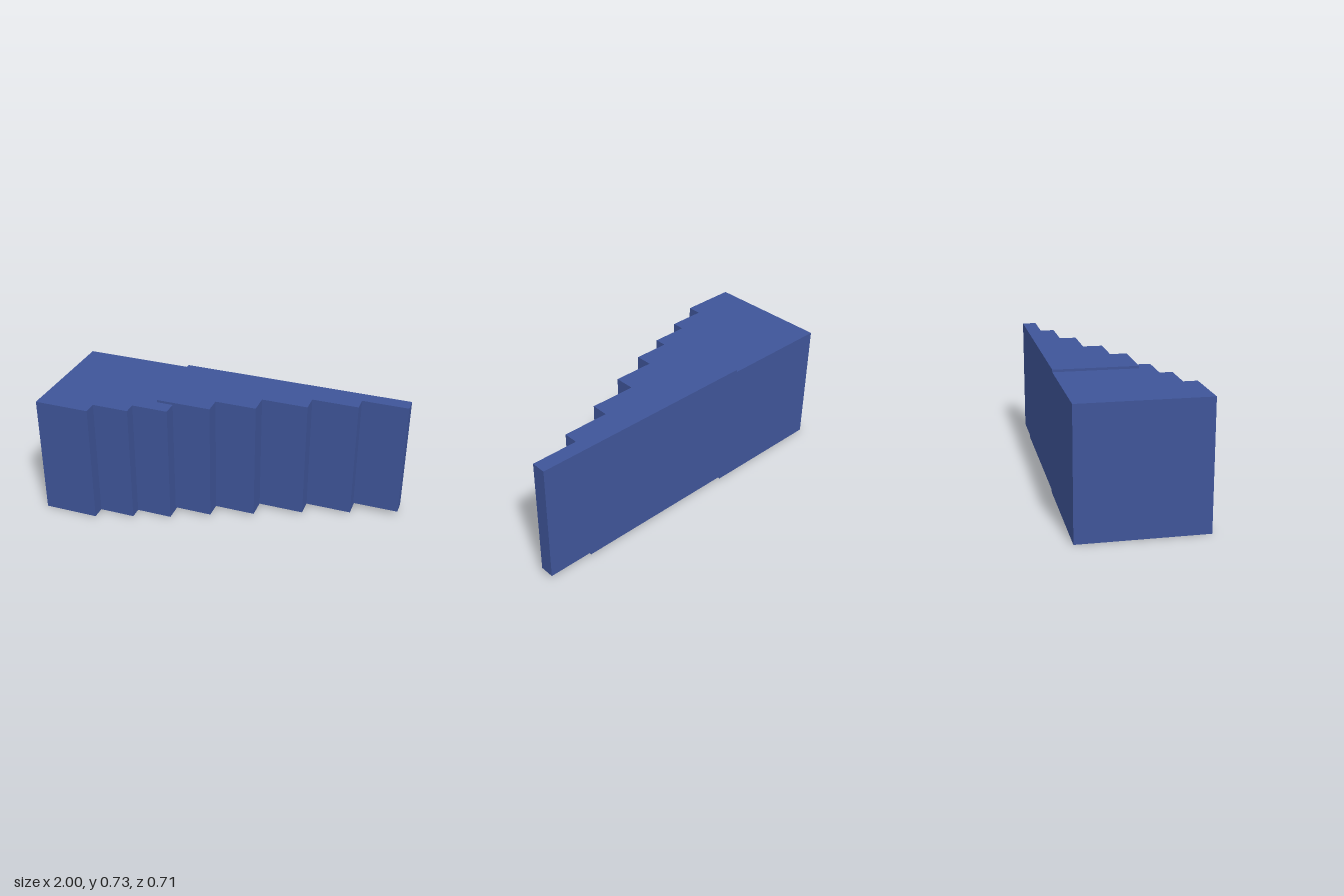
import * as THREE from 'three';

const BACK = -0.353;

// Each step: [right-hand end in x, front face in z]
const lowerSteps = [[-0.68, 0.353], [-0.47, 0.275], [-0.26, 0.205]];
const upperSteps = [[-0.038, 0.121], [0.2, 0.025], [0.466, -0.089], [0.733, -0.187]];
const endStep = [[1, -0.27]];
const capStep = [[-0.26, 0.121]];

export function createModel() {
  const group = new THREE.Group();
  group.name = 'steppedBlock';
  const material = new THREE.MeshStandardMaterial({ color: 0x3f5599 });

  // Extrudes a staircase plan upwards from y0 to y1
  function addSection(name, startX, steps, y0, y1) {
    const shape = new THREE.Shape();
    shape.moveTo(startX, -BACK);
    let x = startX;
    for (const [endX, front] of steps) {
      shape.lineTo(x, -front);
      shape.lineTo(endX, -front);
      x = endX;
    }
    shape.lineTo(x, -BACK);
    shape.closePath();
    const geometry = new THREE.ExtrudeGeometry(shape, { depth: y1 - y0, bevelEnabled: false });
    geometry.rotateX(-Math.PI / 2).translate(0, y0, 0);
    const mesh = new THREE.Mesh(geometry, material);
    mesh.name = name;
    group.add(mesh);
  }

  // Deep sections, middle sections, shallow end, and the lip overlapping the deep sections
  addSection('deepSections', -1, lowerSteps, 0, 0.713);
  addSection('middleSections', -0.26, upperSteps, 0.015, 0.727);
  addSection('endSection', 0.733, endStep, 0.03, 0.727);
  addSection('topLip', -0.355, capStep, 0.713, 0.727);

  return group;
}
